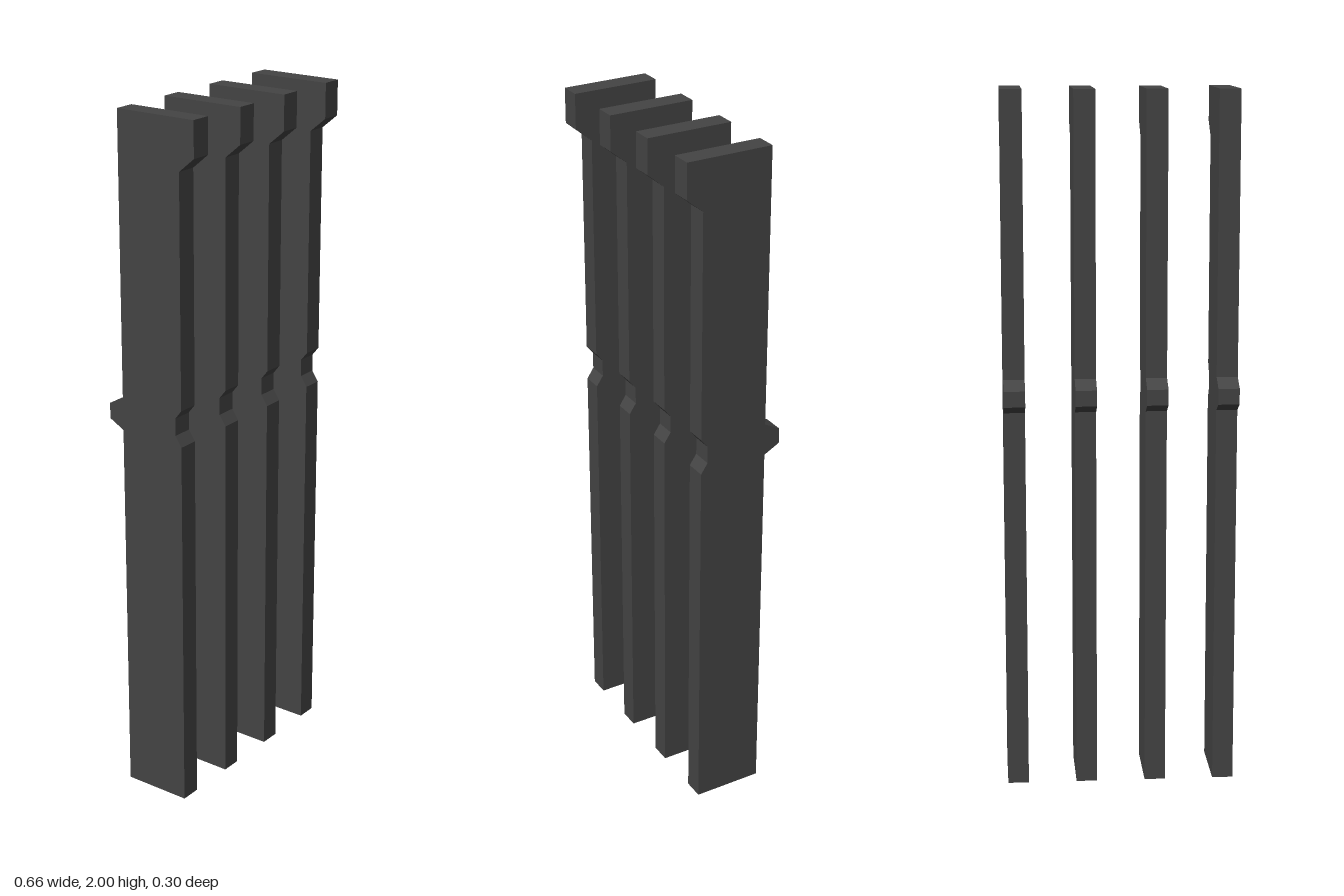
import * as THREE from 'three';

export function createModel() {
  const group = new THREE.Group();
  group.name = 'slattedPanel';
  const material = new THREE.MeshStandardMaterial({ color: 0x444444, flatShading: true });

  // side profile of one slat as [z, y]
  const profile = [
    [0.1, 0], [0.1, 1.1], [0.08, 1.13], [0.08, 1.18], [0.1, 1.205], // front notch
    [0.1, 1.86], [0.148, 1.9], [0.148, 2], // top lip
    [-0.102, 2], [-0.102, 1.2], [-0.148, 1.175], [-0.148, 1.13], [-0.102, 1.105], // rear tab
    [-0.102, 0],
  ];
  const shape = new THREE.Shape(profile.map(([z, y]) => new THREE.Vector2(z, y)));

  // extrude across the slat's thickness, then turn the profile to face +z
  const thickness = 0.06;
  const slatGeometry = new THREE.ExtrudeGeometry(shape, { depth: thickness, bevelEnabled: false });
  slatGeometry.translate(0, 0, -thickness / 2);
  slatGeometry.rotateY(-Math.PI / 2);

  // four evenly spaced slats
  for (let i = 0; i < 4; i++) {
    const slat = new THREE.Mesh(slatGeometry, material);
    slat.name = `slat${i + 1}`;
    slat.position.x = -0.3 + i * 0.2;
    group.add(slat);
  }
  return group;
}
